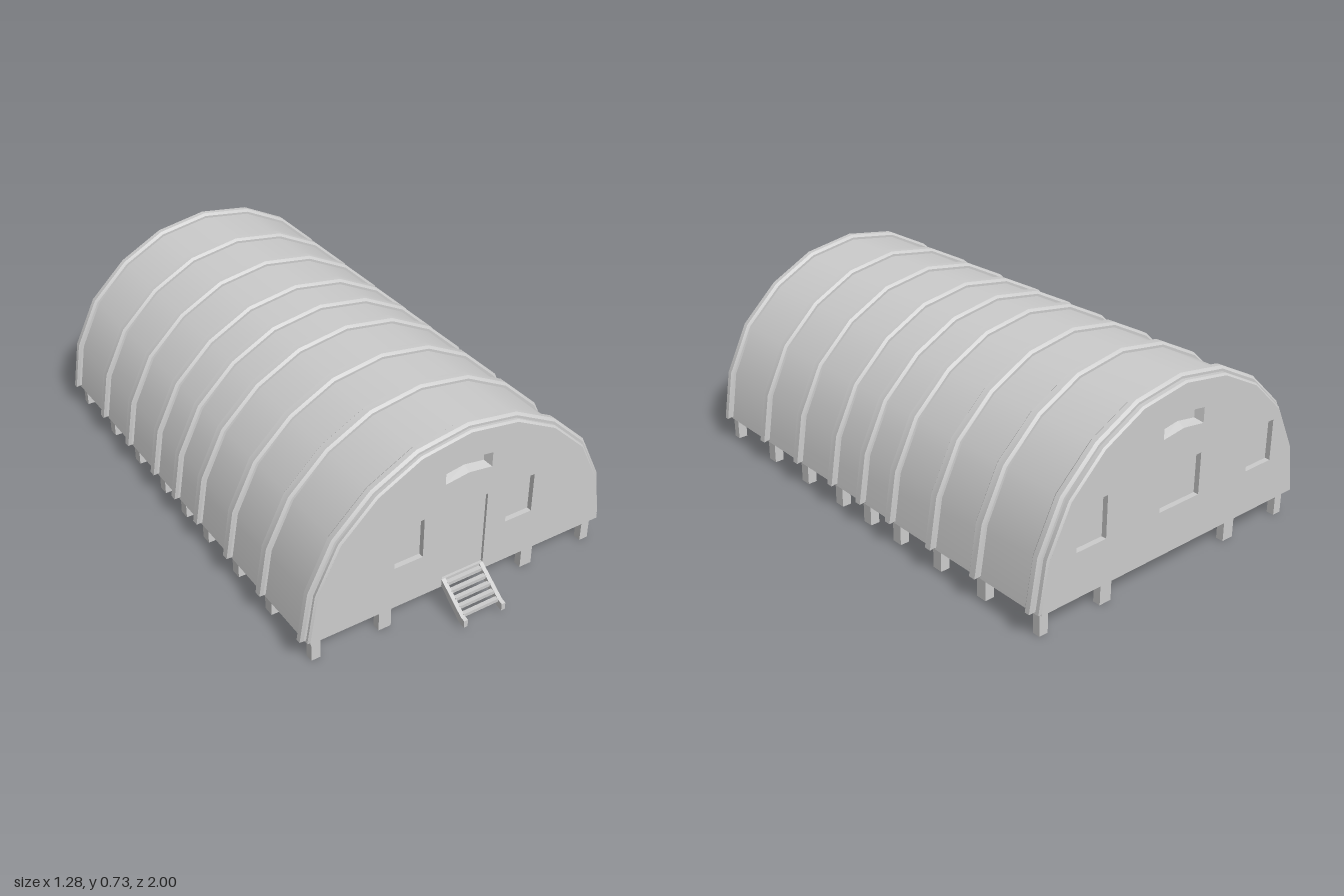
import * as THREE from 'three';
import { toCreasedNormals } from 'three/addons/utils/BufferGeometryUtils.js';

const FRONT = 0.865, BACK = -1, WALL = 0.01, BASE = 0.097, SILL = 0.07;
const LENGTH = FRONT - BACK, MIDDLE = (FRONT + BACK) / 2;
const RIB_Z = [0.83, 0.565, 0.335, 0.11, -0.065, -0.24, -0.465, -0.695, -0.96];
const HALF_ARCH = [[0.62, 0], [0.59, 0.188], [0.503, 0.365], [0.362, 0.499], [0.195, 0.586], [0, 0.617]];

export function createModel() {
  const root = new THREE.Group();
  const mat = new THREE.MeshStandardMaterial({ color: 0xcccccc, side: THREE.DoubleSide });

  const add = (name, geo, x = 0, y = 0, z = 0, parent = root) => {
    const mesh = new THREE.Mesh(geo, mat);
    mesh.name = name;
    mesh.position.set(x, y, z);
    parent.add(mesh);
    return mesh;
  };
  const box = (name, w, h, d, x, y, z, parent) => add(name, new THREE.BoxGeometry(w, h, d), x, y, z, parent);

  // Arch outline from right foot over the top to left foot, grown by d
  const arch = (d) => {
    const sx = 1 + d / 0.62, sy = 1 + d / 0.617;
    const half = HALF_ARCH.map(([x, y]) => new THREE.Vector2(x * sx, BASE + y * sy));
    const other = half.slice(0, -1).reverse().map((p) => new THREE.Vector2(-p.x, p.y));
    return [...half, ...other];
  };
  const band = (outer, inner) => new THREE.Shape([...arch(outer), ...arch(inner).reverse()]);
  const rect = (x, y, w, h) => [[x - w / 2, y], [x + w / 2, y], [x + w / 2, y + h], [x - w / 2, y + h]]
    .map(([a, b]) => new THREE.Vector2(a, b));
  const extrude = (shape, depth) =>
    toCreasedNormals(new THREE.ExtrudeGeometry(shape, { depth, bevelEnabled: false }), 0.45);
  // Extrusion of total length `depth`, centred on z = 0, with chamfered edges
  const chamfered = (shape, depth, b) => toCreasedNormals(new THREE.ExtrudeGeometry(shape, {
    depth: depth - 2 * b, bevelEnabled: true, bevelSize: b, bevelThickness: b, bevelOffset: -b, bevelSegments: 1,
  }).translate(0, 0, b - depth / 2), 0.45);

  // Thin curved roof
  add('roofShell', chamfered(band(0, -0.018), LENGTH, 0.007), 0, 0, MIDDLE);

  // Ribs, showing outside and inside
  RIB_Z.forEach((z, i) => {
    const end = i === 0 || i === RIB_Z.length - 1;
    add('rib', chamfered(band(0.018, -0.03), end ? 0.037 : 0.045, 0.009), 0, 0, z);
  });

  // Flat sill frame around the open floor
  for (const s of [-1, 1]) {
    box('sideSill', SILL, 0.012, LENGTH - 0.01, s * (0.617 - SILL / 2), BASE + 0.007, MIDDLE);
    box('endSill', 1.234 - 2 * SILL, 0.012, SILL, 0, BASE + 0.007, MIDDLE + s * (LENGTH / 2 - 0.005 - SILL / 2));
  }

  // Curved ventilation opening outline, shrunk by s for its inner end
  const vent = (s) => [[-0.095 + s, 0.535 + s], [0, 0.548 + s], [0.095 - s, 0.535 + s],
    [0.095 - s, 0.592 - s], [0, 0.606 - s], [-0.095 + s, 0.592 - s]]
    .map(([x, y]) => new THREE.Vector2(x, y));

  // Sloped sides joining the outer and inner vent outlines
  const ventSides = () => {
    const pos = [], a = vent(0), b = vent(0.013);
    a.forEach((p, i) => {
      const j = (i + 1) % a.length, q = a[j], r = b[j], s = b[i], d = -0.03;
      pos.push(p.x, p.y, 0, q.x, q.y, 0, r.x, r.y, d, p.x, p.y, 0, r.x, r.y, d, s.x, s.y, d);
    });
    const geo = new THREE.BufferGeometry();
    geo.setAttribute('position', new THREE.Float32BufferAttribute(pos, 3));
    geo.computeVertexNormals();
    return geo;
  };

  // Thin end wall: outer face at local z = 0, each opening has a reveal frame and a recessed pane
  const endWall = (name, openings) => {
    const group = new THREE.Group();
    group.name = name;
    const shape = new THREE.Shape(arch(-0.007));
    shape.holes.push(new THREE.Path(vent(0)));
    openings.forEach(({ part, x, y, w, h, recess, lip }) => {
      shape.holes.push(new THREE.Path(rect(x, y, w, h)));
      const frame = new THREE.Shape(rect(x, y, w, h));
      frame.holes.push(new THREE.Path(rect(x, y + lip, w - 2 * lip, h - 2 * lip)));
      add(part + 'Frame', extrude(frame, recess + 0.008), 0, 0, -recess - 0.008, group);
      box(part, w - 2 * lip, h - 2 * lip, 0.008, x, y + h / 2, -recess - 0.004, group);
    });
    add('wallPanel', extrude(shape, WALL), 0, 0, -WALL, group);
    add('ventSides', ventSides(), 0, 0, 0, group);
    add('ventPane', extrude(new THREE.Shape(vent(0.013)), 0.006), 0, 0, -0.036, group);
    root.add(group);
    return group;
  };
  const pane = (x, w) => ({ part: 'window', x, y: 0.263, w, h: 0.168, recess: 0.02, lip: 0.005 });
  const front = endWall('frontWall', [pane(-0.23, 0.124), pane(0.23, 0.124),
    { part: 'door', x: 0, y: 0.125, w: 0.18, h: 0.303, recess: 0.01, lip: 0.003 }]);
  front.position.z = FRONT;
  const back = endWall('backWall', [pane(-0.405, 0.14), pane(0, 0.2), pane(0.405, 0.14)]);
  back.rotation.y = Math.PI;
  back.position.z = BACK;

  // Foundation posts under every rib, with two more under each end wall
  RIB_Z.forEach((z, i) => {
    const end = i === 0 || i === RIB_Z.length - 1;
    for (const s of [-1, 1]) {
      box('post', 0.036, 0.104, end ? 0.03 : 0.042, s * 0.579, 0.052, z);
      if (end) box('endPost', 0.05, 0.104, 0.03, s * 0.305, 0.052, z);
    }
  });

  // Entrance steps: two sloping stringers with slats between
  const stairs = new THREE.Group();
  stairs.name = 'steps';
  root.add(stairs);
  const side = new THREE.Shape([[0.865, 0.1], [0.972, 0.018], [1, 0.014], [1, 0.042], [0.98, 0.047], [0.865, 0.128]]
    .map(([z, y]) => new THREE.Vector2(-z, y)));
  for (const x of [-0.088, 0.072]) {
    add('stringer', extrude(side, 0.016), x, 0, 0, stairs).rotation.y = Math.PI / 2;
  }
  for (let i = 0; i < 5; i++) {
    box('tread', 0.148, 0.013, 0.016, 0, 0.112 - i * 0.0168, 0.874 + i * 0.0243, stairs);
  }
  return root;
}
